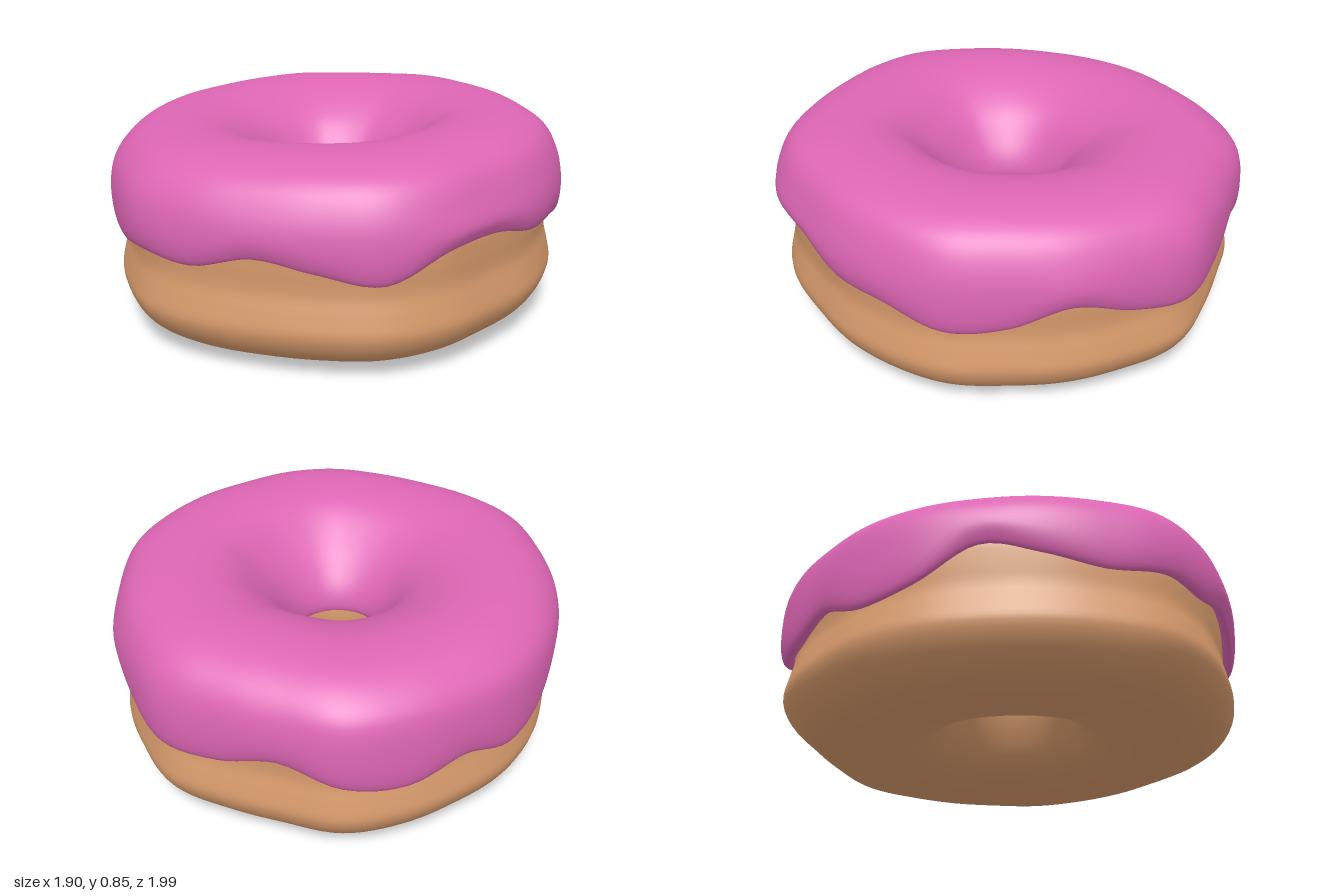
import * as THREE from 'three';

const HOLE = 0.175;
const SEGMENTS = 144;

// Outer radius and icing edge height, one value every 15 degrees from +x towards +z
const OUTLINE = [0.95, 0.945, 0.975, 0.985, 0.96, 0.955, 0.98, 1.0, 0.965, 0.945, 0.935, 0.945,
  0.955, 0.955, 0.98, 1.0, 0.96, 0.965, 1.0, 0.968, 0.955, 0.945, 0.965, 0.955];
const DRIPS = [0.475, 0.53, 0.52, 0.42, 0.46, 0.5, 0.44, 0.45, 0.425, 0.47, 0.51, 0.38,
  0.335, 0.40, 0.35, 0.38, 0.45, 0.395, 0.385, 0.43, 0.5, 0.42, 0.40, 0.46];

// Smooth periodic lookup in a table spread around the full circle
function around(table, angle) {
  const n = table.length;
  const f = (angle / (Math.PI * 2)) * n;
  const i = Math.floor(f), t = f - i;
  const [a, b, c, d] = [-1, 0, 1, 2].map((k) => table[(i + k + n) % n]);
  return b + 0.5 * t * (c - a + t * (2 * a - 5 * b + 4 * c - d + t * (3 * (b - c) + d - a)));
}

// Sweep a cross-section round the hole. section(angle) gives [t, y] points,
// where t runs from 0 at the hole to 1 at the outer outline.
function sweep(section, closed, steps) {
  const positions = [], indices = [];
  const rows = closed ? steps : steps + 1;
  for (let i = 0; i < SEGMENTS; i++) {
    const angle = (i / SEGMENTS) * Math.PI * 2;
    const radius = around(OUTLINE, angle);
    const points = section(angle).map(([t, y]) => new THREE.Vector3(HOLE + (radius - HOLE) * t, y, 0));
    const curve = new THREE.CatmullRomCurve3(points, closed);
    for (let j = 0; j < rows; j++) {
      const p = curve.getPoint(j / steps);
      positions.push(p.x * Math.cos(angle), p.y, p.x * Math.sin(angle));
    }
    const next = (i + 1) % SEGMENTS;
    for (let j = 0; j < steps; j++) {
      const k = (j + 1) % rows;
      const a = i * rows + j, b = i * rows + k, c = next * rows + k, d = next * rows + j;
      indices.push(a, b, c, a, c, d);
    }
  }
  const geometry = new THREE.BufferGeometry();
  geometry.setAttribute('position', new THREE.Float32BufferAttribute(positions, 3));
  geometry.setIndex(indices);
  geometry.computeVertexNormals();
  return geometry;
}

// Dough ring: rounded base, slight waist, flared hole, underside a little uneven
function doughSection(angle) {
  const tilt = 0.008 * (1 + Math.cos(angle));
  return [
    [0.55, 0.008 + tilt], [0.77, 0.035 + tilt], [0.9, 0.11], [0.96, 0.2], [0.945, 0.28],
    [0.922, 0.36], [0.925, 0.46], [0.92, 0.55], [0.85, 0.66], [0.7, 0.74], [0.5, 0.76],
    [0.3, 0.7], [0.12, 0.58], [0.03, 0.5], [0.005, 0.42], [0.005, 0.35], [0.06, 0.22],
    [0.17, 0.1], [0.34, 0.025 + tilt],
  ];
}

// Icing: wavy rounded lip, full shoulder, gently tilted top, smooth slope into the hole
function icingSection(angle) {
  const edge = around(DRIPS, angle);
  const top = 0.832 + 0.022 * Math.cos(angle);
  return [
    [0.89, edge + 0.06], [0.93, edge + 0.018], [0.963, edge], [0.985, edge + 0.025],
    [1, 0.5 * (edge + 0.66)], [0.975, 0.665], [0.9, top - 0.075], [0.77, top - 0.018],
    [0.57, top], [0.37, top - 0.035], [0.19, 0.7], [0.08, 0.6], [0.015, 0.51],
    [0, 0.44], [0.03, 0.4],
  ];
}

export function createModel() {
  const group = new THREE.Group();
  group.name = 'doughnut';
  const add = (name, geometry, color) => {
    const mesh = new THREE.Mesh(geometry, new THREE.MeshStandardMaterial({ color, side: THREE.DoubleSide }));
    mesh.name = name;
    group.add(mesh);
  };
  add('dough', sweep(doughSection, true, 76), 0xd79a6c);
  add('icing', sweep(icingSection, false, 70), 0xdd66b4);
  return group;
}
